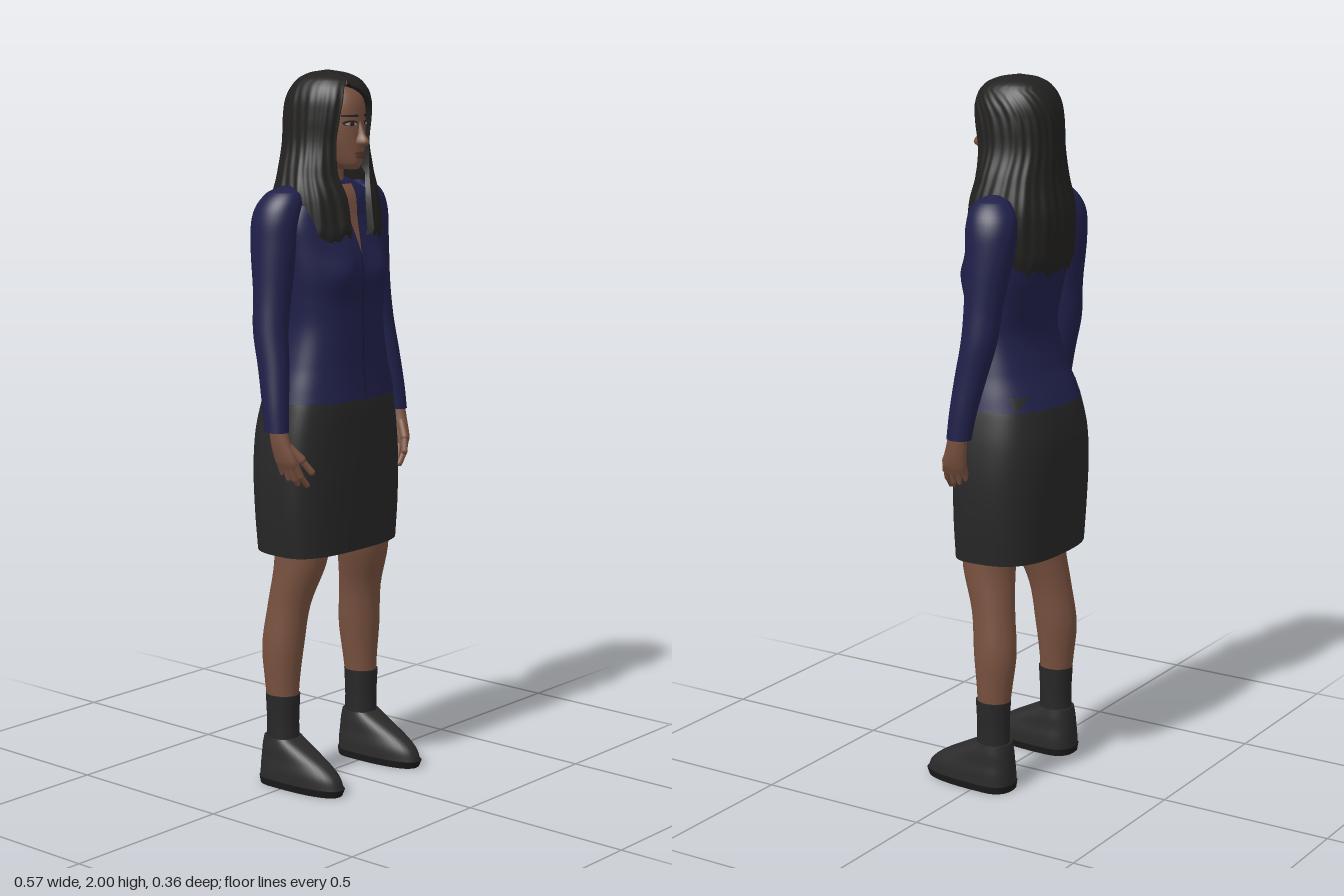
import * as THREE from 'three';

const mat = (name, color, double) => {
  const m = new THREE.MeshStandardMaterial({ color });
  m.name = name;
  if (double) m.side = THREE.DoubleSide;
  return m;
};
const M = {
  skin: mat('skin', 0x78513f),
  hair: mat('hair', 0x222120, true),
  shirt: mat('navy shirt', 0x20204a),
  trim: mat('dark navy trim', 0x17173a, true),
  skirt: mat('charcoal skirt', 0x272727, true),
  sock: mat('sock', 0x272727),
  shoe: mat('shoe', 0x2a2a2a),
  sole: mat('sole', 0x1a1a1a),
  lips: mat('lips', 0x5f372f),
  eye: mat('eye white', 0x9a8f88),
};

// Sections run top to bottom: [y, centreX, centreZ, halfWidth, frontDepth, backDepth]
const TORSO = [
  [1.715, 0, -.03, .045, .03, .045], [1.695, 0, -.03, .09, .06, .07], [1.66, 0, -.02, .15, .075, .092],
  [1.6, 0, 0, .182, .07, .122], [1.52, 0, 0, .18, .095, .125], [1.45, 0, 0, .174, .107, .122],
  [1.38, 0, 0, .165, .106, .107], [1.3, 0, 0, .161, .108, .095], [1.2, 0, 0, .18, .11, .122],
  [1.14, 0, 0, .197, .115, .15], [1.1, 0, 0, .207, .12, .167]];
const SKIRT = [
  [1.14, 0, 0, .19, .1, .145], [1.08, 0, 0, .206, .107, .163], [1.0, 0, 0, .221, .108, .177],
  [.9, 0, 0, .23, .108, .178], [.78, 0, 0, .229, .107, .172], [.67, 0, 0, .22, .105, .167]];
const ARM = [
  [1.69, .15, -.035, .012, .015, .015], [1.672, .162, -.035, .045, .05, .05], [1.62, .18, -.04, .061, .067, .075],
  [1.54, .192, -.043, .06, .067, .072], [1.4, .21, -.037, .05, .055, .055], [1.3, .224, -.03, .046, .05, .052],
  [1.2, .235, -.01, .04, .045, .046], [1.1, .248, .008, .034, .038, .04], [1.03, .254, .017, .03, .035, .037]];
const LEG = [
  [.9, .115, -.02, .095, .09, .1], [.75, .122, -.005, .082, .085, .085], [.64, .134, -.005, .072, .075, .075],
  [.52, .153, -.03, .058, .062, .062], [.4, .165, -.042, .056, .06, .063], [.3, .169, -.042, .047, .05, .053],
  [.22, .17, -.04, .04, .045, .045]];
const SOCK = [
  [.262, .17, -.04, .046, .051, .051], [.18, .17, -.04, .044, .047, .047], [.1, .17, -.04, .045, .05, .05]];
const SHOE = [
  [.138, .17, -.04, .047, .052, .053], [.11, .17, -.04, .051, .108, .058], [.08, .17, -.04, .053, .165, .061],
  [.05, .17, -.04, .057, .203, .063], [.018, .17, -.04, .058, .217, .064]];
const SOLE = [[.02, .17, -.04, .061, .221, .066], [0, .17, -.04, .058, .212, .063]];
const HEAD = [
  [1.98, 0, -.02, .03, .04, .04], [1.96, 0, -.02, .055, .085, .085], [1.92, 0, -.02, .07, .113, .1],
  [1.87, 0, -.02, .074, .118, .105], [1.82, 0, -.02, .07, .119, .1], [1.78, 0, -.01, .057, .109, .07],
  [1.75, 0, .02, .04, .076, .06], [1.733, 0, .055, .02, .032, .04]];
const NECK = [[1.79, 0, -.02, .046, .05, .05], [1.7, 0, -.025, .045, .05, .05], [1.6, 0, -.02, .06, .055, .06]];
const NOSE = [
  [1.868, 0, .085, .006, .012, .02], [1.83, 0, .09, .01, .024, .02], [1.807, 0, .09, .017, .038, .02],
  [1.794, 0, .09, .012, .024, .02]];
const PALM = [
  [1.06, .254, .017, .02, .026, .026], [1.0, .25, .026, .02, .034, .03], [.95, .242, .038, .017, .04, .036],
  [.925, .235, .04, .012, .034, .032]];
const HAIR = [
  [2.0, 0, -.02, .004, .004, .004], [1.992, 0, -.02, .045, .055, .05], [1.972, 0, -.02, .08, .098, .085],
  [1.93, 0, -.02, .104, .121, .112], [1.88, 0, -.02, .111, .122, .122], [1.8, 0, -.02, .117, .108, .124],
  [1.72, 0, -.02, .142, .105, .127], [1.62, 0, -.02, .162, .12, .143], [1.46, 0, -.02, .166, .134, .136]];

// Smooth interpolation of a section list at height y
function at(S, y) {
  let i = 0;
  while (i < S.length - 2 && y < S[i + 1][0]) i++;
  const a = S[i], b = S[i + 1], p = S[Math.max(i - 1, 0)], q = S[Math.min(i + 2, S.length - 1)];
  const h = b[0] - a[0], t = THREE.MathUtils.clamp((y - a[0]) / h, 0, 1);
  return a.map((v, k) => {
    const m0 = (b[k] - p[k]) / (b[0] - p[0]) * h, m1 = (q[k] - v) / (q[0] - a[0]) * h;
    const t2 = t * t, t3 = t2 * t;
    return (2 * t3 - 3 * t2 + 1) * v + (t3 - 2 * t2 + t) * m0 + (3 * t2 - 2 * t3) * b[k] + (t3 - t2) * m1;
  });
}
const heights = (S, sub) => S.slice(1).flatMap((b, i) =>
  Array.from({ length: sub }, (_, k) => S[i][0] + (b[0] - S[i][0]) * (k + (i ? 1 : 0) / 1) / sub)
    .map((y, k) => S[i][0] + (b[0] - S[i][0]) * k / sub)).concat(S[S.length - 1][0]);
const pw = (v, n) => Math.sign(v) * Math.abs(v) ** (2 / n);
function ringPoint(s, phi, n) {
  const c = pw(Math.cos(phi), n);
  return [s[1] + s[3] * pw(Math.sin(phi), n), s[0], s[2] + c * (c > 0 ? s[4] : s[5])];
}

// Grid surface from rows of points, top to bottom
function grid(rows, closed) {
  const w = rows[0].length, pos = rows.flat(2), idx = [];
  for (let i = 0; i < rows.length - 1; i++) for (let j = 0; j < (closed ? w : w - 1); j++) {
    const a = i * w + j, b = i * w + (j + 1) % w;
    idx.push(a, a + w, b, b, a + w, b + w);
  }
  return finish(pos, idx, closed === 'capped' ? [rows[0], rows[rows.length - 1]] : []);
}
function finish(pos, idx, caps) {
  caps.forEach((ring, k) => {
    const o = pos.length / 3, w = ring.length;
    const mid = [0, 1, 2].map(d => ring.reduce((s, p) => s + p[d], 0) / w);
    pos.push(...mid, ...ring.flat());
    for (let j = 0; j < w; j++) {
      const a = o + 1 + j, b = o + 1 + (j + 1) % w;
      idx.push(o, ...(k ? [b, a] : [a, b]));
    }
  });
  const g = new THREE.BufferGeometry();
  g.setAttribute('position', new THREE.Float32BufferAttribute(pos, 3));
  g.setIndex(idx);
  g.computeVertexNormals();
  return g;
}
function loft(S, { n = 2, seg = 40, sub = 5, side = 1, open = false, warp } = {}) {
  const T = S.map(r => [r[0], r[1] * side, ...r.slice(2)]);
  const rows = heights(T, sub).map(y => Array.from({ length: seg }, (_, j) => {
    const p = ringPoint(at(T, y), j / seg * Math.PI * 2, n);
    return warp ? warp(p) : p;
  }));
  return grid(rows, open ? 'open' : 'capped');
}
// Front surface depth of a lofted part
function frontZ(S, n, x, y) {
  const s = at(S, y);
  return s[2] + s[4] * Math.max(0, 1 - Math.min(1, Math.abs((x - s[1]) / s[3])) ** n) ** (1 / n);
}
const bust = (x, y) => .02 * Math.exp(-(((Math.abs(x) - .075) / .05) ** 2) - ((y - 1.455) / .055) ** 2);
const torsoZ = (x, y) => frontZ(TORSO, 2.4, x, y) + bust(x, y);
const headZ = (x, y) => frontZ(HEAD, 2.2, x, y);

// Thin painted detail lying on a front surface
function patch(y0, y1, xl, xr, zf, off) {
  const rows = [];
  for (let i = 0; i <= 16; i++) {
    const t = i / 16, y = y0 + (y1 - y0) * t;
    rows.push(Array.from({ length: 9 }, (_, j) => {
      const x = xl(t) + (xr(t) - xl(t)) * j / 8;
      return [x, y, zf(x, y) + off];
    }));
  }
  return grid(rows, false);
}
const oval = (cx, cy, w, h, zf, off) => {
  const e = t => w * Math.sqrt(Math.max(0, 1 - (2 * t - 1) ** 2));
  return patch(cy + h, cy - h, t => cx - e(t), t => cx + e(t), zf, off);
};

// Long hair shell, parted off centre and open at the face
function hairGeometry() {
  const edges = [[2.0, -.002, .002], [1.965, -.036, -.032], [1.95, -.046, -.005], [1.92, -.056, .034], [1.88, -.063, .057],
    [1.8, -.066, .066], [1.72, -.062, .062], [1.62, -.045, .045], [1.46, -.04, .04]];
  const N = 180, n = 2.2, lift = .72;
  const rows = heights(HAIR, 6).map(y => {
    const s = at(HAIR, y), e = at(edges, y);
    const ang = x => Math.asin(THREE.MathUtils.clamp(Math.abs(x / s[3]) ** (n / 2), 0, 1)) * Math.sign(x);
    const a0 = ang(e[2]), a1 = ang(e[1]) + Math.PI * 2;
    return Array.from({ length: N + 1 }, (_, j) => {
      const phi = a0 + (a1 - a0) * j / N, p = ringPoint(s, phi, n);
      const back = .5 - .5 * Math.cos(phi);
      const strand = Math.sin(j * .9 + 5 * y) * .5 + Math.sin(j * .37 - 9 * y) * .5;
      const fade = Math.min(1, (2 - y) * 12);
      let k = 1 + .018 * strand * fade;
      if ((j === 0 || j === N) && y < 1.96) k = y > 1.72 ? lift : .85;
      if (y < 1.47) k -= .05;
      const bottom = 1.55 - .08 * back + .012 * strand;
      const yy = y < 1.72 ? 1.72 - (1.72 - y) * (1.72 - bottom) / .26 : y;
      return [p[0] * (j === 0 || j === N ? 1 : k), yy, s[2] + (p[2] - s[2]) * k];
    });
  });
  return grid(rows, false);
}

export function createModel() {
  const root = new THREE.Group();
  root.name = 'woman';
  const add = (name, geo, material, parent = root) => {
    const m = new THREE.Mesh(geo, material);
    m.name = name;
    parent.add(m);
    return m;
  };
  // Rounded rod between two points
  const rod = (name, a, b, r, parent) => {
    const A = new THREE.Vector3(...a), d = new THREE.Vector3(...b).sub(A);
    const m = add(name, new THREE.CapsuleGeometry(r, d.length(), 5, 10), M.skin, parent);
    m.position.copy(A).addScaledVector(d, .5);
    m.quaternion.setFromUnitVectors(new THREE.Vector3(0, 1, 0), d.normalize());
  };

  // Clothing
  add('shirtBody', loft(TORSO, { n: 2.4, seg: 72, sub: 6,
    warp: p => p[2] > 0 ? [p[0], p[1], p[2] + bust(p[0], p[1])] : p }), M.shirt);
  add('skirt', loft(SKIRT, { n: 2.8, seg: 64, open: true }), M.skirt);
  const vee = t => .034 * (1 - t);
  add('necklineSkin', patch(1.69, 1.5, t => -vee(t), vee, torsoZ, .003), M.skin);
  for (const s of [-1, 1]) add('collar', patch(1.69, 1.49,
    t => s > 0 ? vee(t) : -vee(t) - .018 * (1 - t) - .002,
    t => s > 0 ? vee(t) + .018 * (1 - t) + .002 : -vee(t), torsoZ, .006), M.shirt);
  add('placket', patch(1.5, 1.1, () => -.002, () => .002, torsoZ, .002), M.trim);

  // Head and face
  add('neck', loft(NECK), M.skin);
  add('head', loft(HEAD, { n: 2.2, seg: 48 }), M.skin);
  add('nose', loft(NOSE, { seg: 20 }), M.skin);
  add('upperLip', oval(0, 1.777, .024, .005, headZ, .006), M.lips);
  add('lowerLip', oval(0, 1.768, .02, .006, headZ, .005), M.lips);
  for (const s of [-1, 1]) {
    add('eyeLine', oval(s * .031, 1.859, .018, .008, headZ, .002), M.hair);
    add('eyeWhite', oval(s * .031, 1.857, .014, .0045, headZ, .004), M.eye);
    add('iris', oval(s * .031, 1.857, .0055, .005, headZ, .006), M.hair);
    add('eyebrow', patch(1.882, 1.876, t => s * .032 - .02, t => s * .032 + .02,
      (x, y) => headZ(x, y), .004), M.hair);
  }
  add('hair', hairGeometry(), M.hair);

  // Limbs
  for (const s of [1, -1]) {
    const label = s > 0 ? 'left' : 'right';
    add(label + 'Sleeve', loft(ARM, { side: s }), M.shirt);
    add(label + 'Leg', loft(LEG, { side: s }), M.skin);
    add(label + 'Sock', loft(SOCK, { side: s }), M.sock);
    add(label + 'Shoe', loft(SHOE, { side: s, n: 2.4 }), M.shoe);
    add(label + 'Sole', loft(SOLE, { side: s, n: 2.4, sub: 1 }), M.sole);

    const hand = new THREE.Group();
    hand.name = label + 'Hand';
    root.add(hand);
    add('palm', loft(PALM, { side: s, seg: 24 }), M.skin, hand);
    for (let k = 0; k < 4; k++) {
      const z = .012 + k * .019, drop = [.012, 0, 0, .01][k];
      const mid = [s * .222, .898 + drop, z + .002 * k];
      rod('finger', [s * .238, .945, z], mid, .0095, hand);
      rod('fingertip', mid, [s * .2, .872 + drop, z + .003 * k], .0085, hand);
    }
    rod('thumbBase', [s * .246, .995, .045], [s * .222, .955, .078], .013, hand);
    rod('thumbTip', [s * .222, .955, .078], [s * .2, .92, .096], .0095, hand);
  }
  return root;
}
